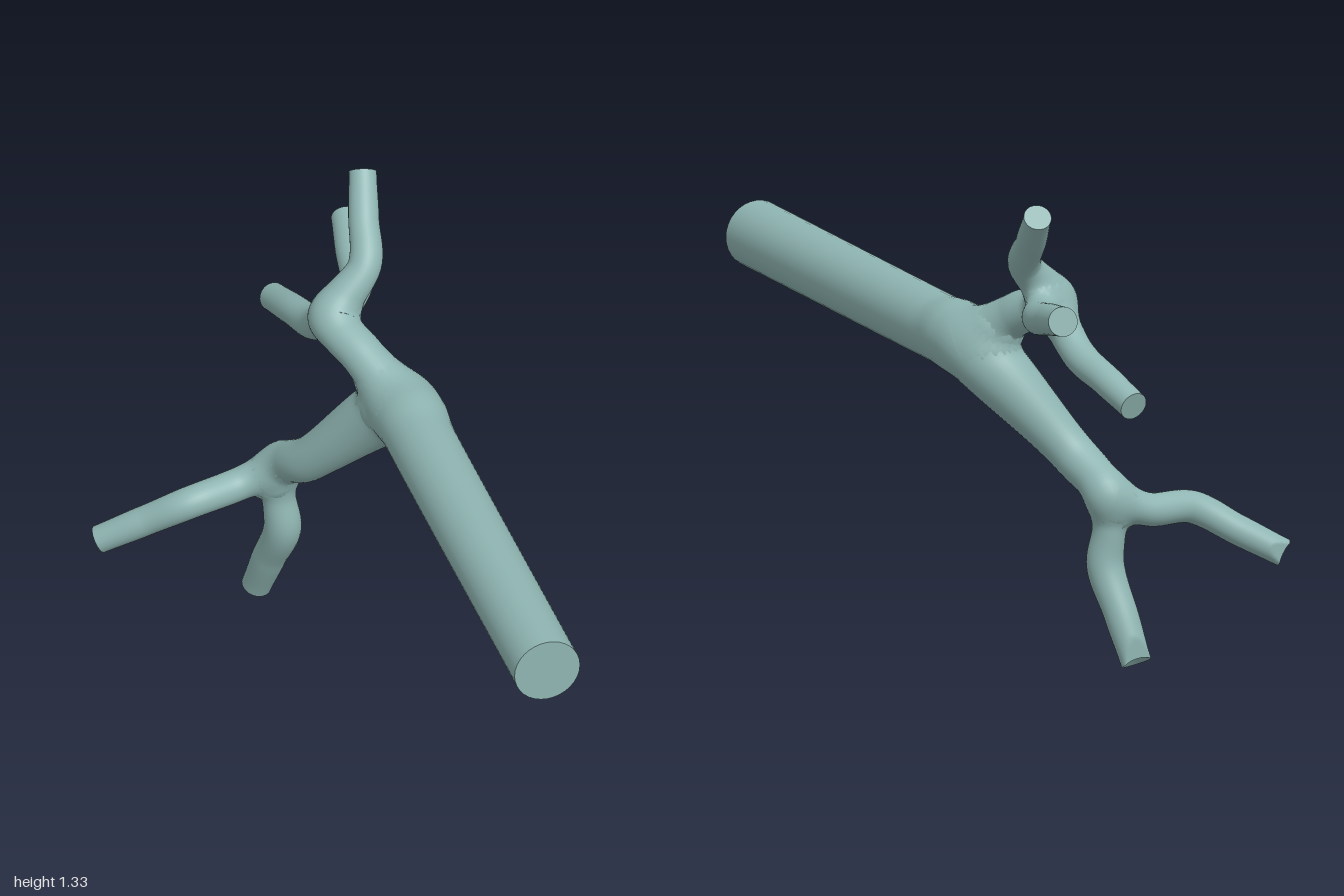
import * as THREE from 'three';

const SIDES = 32, BLEND = 0.045;

// Branch centrelines as [x, y, z, radius] at bends and joints; zMin cuts the broken tips
const BRANCHES = [
  { name: 'trunkAndLowerBranch', capStart: true, dent: 0.025, zMin: -0.787, steps: 220, path: [
    [0.32, 0.84, 1, 0.093], [0.32, 0.84, -0.12, 0.093], [0.322, 0.842, -0.27, 0.1],
    [0.305, 0.81, -0.365, 0.093], [0.125, 0.56, -0.55, 0.062], [0.085, 0.475, -0.66, 0.056],
    [0.075, 0.38, -0.665, 0.046], [0.083, 0.27, -0.66, 0.052], [0.045, 0.017, -0.773, 0.042]] },
  { name: 'lowerSideBranch', dent: 0.025, zMin: -0.775, steps: 110, path: [
    [0.08, 0.47, -0.67, 0.052], [-0.03, 0.42, -0.685, 0.046],
    [-0.18, 0.403, -0.662, 0.045], [-0.41, 0.27, -0.752, 0.039]] },
  { name: 'upperBranch', dent: 0, steps: 110, path: [
    [0.32, 0.85, -0.33, 0.075], [0.245, 0.943, -0.445, 0.06], [0.2, 1.005, -0.56, 0.06],
    [0.3, 1.125, -0.605, 0.046], [0.35, 1.305, -0.785, 0.038]] },
  { name: 'upperMiddleBranch', dent: 0, steps: 110, path: [
    [0.2, 1, -0.57, 0.05], [0.305, 1, -0.7, 0.046], [0.352, 1.05, -0.945, 0.041]] },
  { name: 'upperLowBranch', dent: 0, steps: 110, path: [
    [0.2, 0.995, -0.57, 0.05], [0.19, 0.885, -0.715, 0.046], [0.158, 0.8, -0.985, 0.04]] },
];

// Sample a branch into evenly spaced points with radii and ring frames
function sample(branch) {
  const path = branch.path.map(p => new THREE.Vector4(...p));
  // A midpoint keeps the last stretch straight
  path.splice(-1, 0, path.at(-2).clone().lerp(path.at(-1), 0.5));
  const curve = new THREE.CatmullRomCurve3(path.map(p => new THREE.Vector3(p.x, p.y, p.z)), false, 'centripetal');
  const frames = curve.computeFrenetFrames(branch.steps, false);
  const points = [], radii = [];
  for (let i = 0; i <= branch.steps; i++) {
    const u = i / branch.steps;
    const t = curve.getUtoTmapping(u) * (path.length - 1);
    const k = Math.min(Math.floor(t), path.length - 2);
    points.push(curve.getPointAt(u));
    radii.push(THREE.MathUtils.lerp(path[k].w, path[k + 1].w, THREE.MathUtils.smoothstep(t - k, 0, 1)));
  }
  return { ...branch, frames, points, radii };
}

// Smoothly blended distance to all branches
function field(p, all) {
  let d = 1;
  for (const b of all) {
    let m = 1;
    for (let i = 0; i <= b.steps; i++) {
      const c = b.points[i];
      const x = p.x - c.x, y = p.y - c.y, z = p.z - c.z;
      m = Math.min(m, Math.sqrt(x * x + y * y + z * z) - b.radii[i]);
    }
    const h = Math.max(BLEND - Math.abs(d - m), 0) / BLEND;
    d = Math.min(d, m) - h * h * BLEND / 4;
  }
  return d;
}

function buildGeometry(pos, index) {
  const geo = new THREE.BufferGeometry();
  geo.setAttribute('position', new THREE.Float32BufferAttribute(pos, 3));
  geo.setIndex(index);
  geo.computeVertexNormals();
  return geo;
}

// Skin a branch with rings pushed out to the blended surface
function skin(b, all) {
  const pos = [], index = [], dir = new THREE.Vector3(), p = new THREE.Vector3();
  for (let i = 0; i <= b.steps; i++) {
    const c = b.points[i], r = b.radii[i];
    for (let j = 0; j < SIDES; j++) {
      const a = j / SIDES * Math.PI * 2;
      dir.copy(b.frames.normals[i]).multiplyScalar(Math.cos(a)).addScaledVector(b.frames.binormals[i], Math.sin(a));
      let s = r;
      for (let k = 0; k < 10; k++) {
        const f = field(p.copy(c).addScaledVector(dir, s), all);
        s = THREE.MathUtils.clamp(s - f, r * 0.5, r * 1.6);
        if (Math.abs(f) < 1e-4) break;
      }
      p.copy(c).addScaledVector(dir, s);
      if (b.zMin) p.z = Math.max(p.z, b.zMin);
      pos.push(p.x, p.y, p.z);
      if (i < b.steps) {
        const q = i * SIDES + j, q2 = i * SIDES + (j + 1) % SIDES;
        index.push(q, q2, q + SIDES, q2, q2 + SIDES, q + SIDES);
      }
    }
  }
  return buildGeometry(pos, index);
}

// Close a tube end with a fan, its middle pushed inwards by dent
function cap(b, wall, ring, flip, dent) {
  const src = wall.attributes.position, pos = [], index = [];
  for (let j = 0; j < SIDES; j++) {
    const k = ring * SIDES + j, m = (j + 1) % SIDES;
    pos.push(src.getX(k), src.getY(k), src.getZ(k));
    index.push(SIDES, flip ? m : j, flip ? j : m);
  }
  const centre = b.points[ring].clone().addScaledVector(b.frames.tangents[ring], -dent);
  pos.push(...centre.toArray());
  return buildGeometry(pos, index);
}

export function createModel() {
  const model = new THREE.Group();
  model.name = 'branchingTube';
  const material = new THREE.MeshStandardMaterial({ color: 0x8fb5b2, side: THREE.DoubleSide });
  const all = BRANCHES.map(sample);
  for (const b of all) {
    const group = new THREE.Group();
    group.name = b.name;
    const add = (geo, name) => {
      const mesh = new THREE.Mesh(geo, material);
      mesh.name = name;
      group.add(mesh);
    };
    const wall = skin(b, all);
    add(wall, b.name + 'Wall');
    add(cap(b, wall, b.steps, false, b.dent), b.name + 'Tip');
    if (b.capStart) add(cap(b, wall, 0, true, 0), 'trunkEnd');
    model.add(group);
  }
  return model;
}
